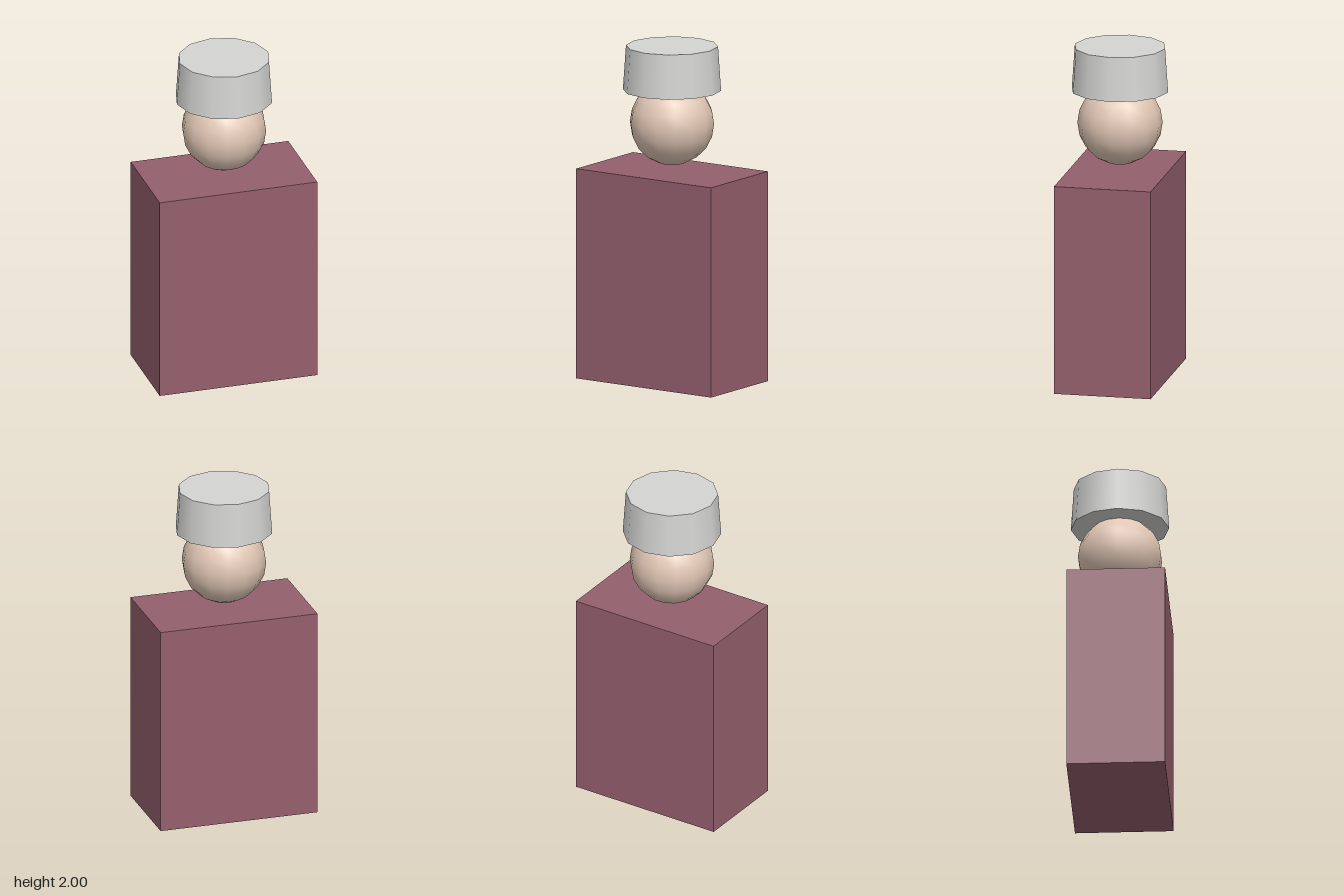
import * as THREE from 'three';

export function createModel() {
  const model = new THREE.Group();

  const paint = (name, color) => {
    const material = new THREE.MeshStandardMaterial({ color });
    material.name = name;
    return material;
  };
  const add = (name, geometry, material, y) => {
    const mesh = new THREE.Mesh(geometry, material);
    mesh.name = name;
    mesh.position.y = y;
    model.add(mesh);
  };

  const plum = paint('plum', 0x945f6d);
  const skin = paint('skin', 0xe0c6b4);
  const lightGrey = paint('lightGrey', 0xd4d4d2);

  // Block body standing on the ground
  add('body', new THREE.BoxGeometry(0.966, 1.256, 0.58), plum, 0.628);

  // Round head floating just above the body
  add('head', new THREE.SphereGeometry(0.25, 14, 10), skin, 1.54);

  // Twelve-sided cap, slightly wider at the brim
  add('cap', new THREE.CylinderGeometry(0.271, 0.289, 0.264, 12), lightGrey, 1.868);

  return model;
}
